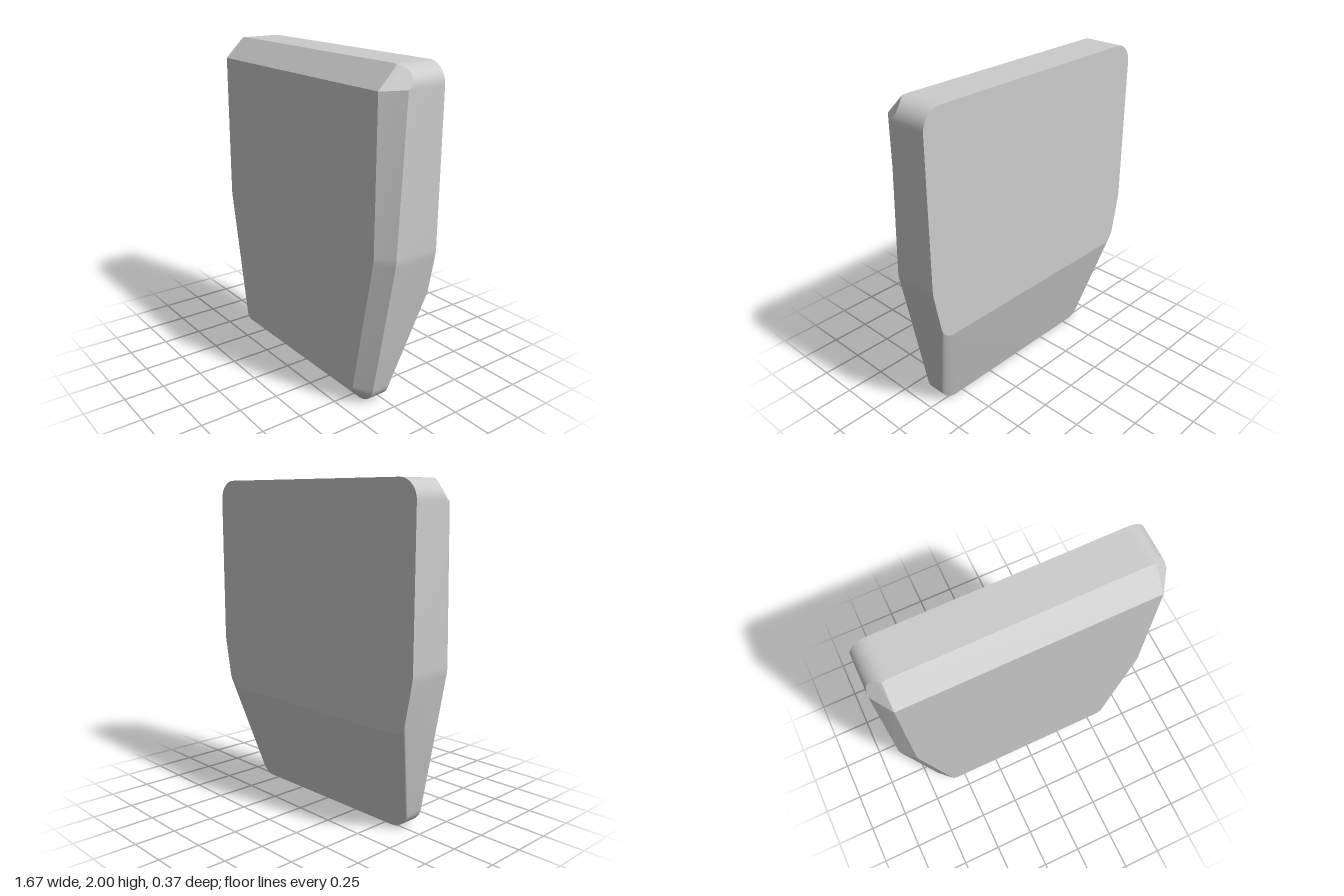
import * as THREE from 'three';
import { toCreasedNormals } from 'three/addons/utils/BufferGeometryUtils.js';

const BACK = -0.187, FRONT = 0.187, HALF = 0.835, BEVEL = 0.085;
const ARC = 12, BEND = 3;
const V = (x, y) => new THREE.Vector2(x, y);

// points of a circular arc rounding the corner p between a and b
function fillet(a, p, b, r, n) {
  const d1 = a.clone().sub(p).normalize(), d2 = b.clone().sub(p).normalize();
  const half = Math.acos(d1.dot(d2)) / 2;
  const c = p.clone().addScaledVector(d1.clone().add(d2).normalize(), r / Math.sin(half));
  const from = p.clone().addScaledVector(d1, r / Math.tan(half)).sub(c);
  const sweep = Math.PI - 2 * half;
  return Array.from({ length: n + 1 }, (_, i) =>
    from.clone().rotateAround(V(0, 0), sweep * i / n).add(c));
}

// x of the tapering lower side at height y
const taper = (y) => HALF - (0.96 - y) * 0.188;

// half outline from bottom to top; topCorner gives the points of the upper corner
function halfOutline(bottom, inset, radius, topCorner) {
  const low = V(taper(bottom) - inset * 1.017, bottom);
  const bend = V(HALF - inset, 0.96 + inset * 0.09);
  return [
    ...fillet(V(0, bottom), low, bend, radius, ARC),
    ...fillet(low, bend, V(bend.x, 2), 0.3 - inset, BEND),
    ...topCorner,
  ];
}

// closed counterclockwise ring from a half outline, with depth given by z(x, y)
function ring(half, z) {
  const right = half.map((p) => new THREE.Vector3(p.x, p.y, z(p.x, p.y)));
  const left = right.map((p) => new THREE.Vector3(-p.x, p.y, p.z)).reverse();
  return [...right, ...left];
}

function panelGeometry() {
  const round = fillet(V(HALF, 1), V(HALF, 2), V(0, 2), 0.12, ARC);
  const sharp = round.map(() => V(HALF - BEVEL, 1.875));

  // front edge depth: side bevel, wider top bevel and the facet joining them
  const edgeZ = (x, y) => Math.min(
    FRONT - BEVEL,
    FRONT + 1.875 - y,
    y > 1.8 ? FRONT - (y - 1.875) - 1.41 * (x - HALF + BEVEL) : FRONT);

  const full = halfOutline(0, 0, 0.127, round);
  const rings = [
    ring(halfOutline(BEVEL, BEVEL, 0.042, sharp), () => FRONT), // front face
    ring(full, edgeZ),                                          // bevel edge
    ring(full, () => -0.017),                                   // start of rear slope
    ring(halfOutline(0.63, 0, 0.095, round), () => BACK),       // back face
  ];

  const pos = [];
  const tri = (a, b, c) => {
    const area = b.clone().sub(a).cross(c.clone().sub(a)).length();
    if (area > 1e-8) for (const p of [a, b, c]) pos.push(p.x, p.y, p.z);
  };

  // walls between neighbouring rings
  for (let k = 0; k < rings.length - 1; k++) {
    const f = rings[k], r = rings[k + 1];
    for (let i = 0; i < f.length; i++) {
      const j = (i + 1) % f.length;
      tri(f[i], r[i], r[j]);
      tri(f[i], r[j], f[j]);
    }
  }

  // flat front and back
  const first = rings[0], last = rings[rings.length - 1];
  const cf = new THREE.Vector3(0, 1, FRONT), cb = new THREE.Vector3(0, 1.3, BACK);
  for (let i = 0; i < first.length; i++) {
    const j = (i + 1) % first.length;
    tri(cf, first[i], first[j]);
    tri(cb, last[j], last[i]);
  }

  const geo = new THREE.BufferGeometry();
  geo.setAttribute('position', new THREE.Float32BufferAttribute(pos, 3));
  return toCreasedNormals(geo, 0.22);
}

export function createModel() {
  const group = new THREE.Group();
  group.name = 'taperedPanel';
  const panel = new THREE.Mesh(
    panelGeometry(), new THREE.MeshStandardMaterial({ color: 0xcccccc }));
  panel.name = 'bevelledPanelBody';
  group.add(panel);
  return group;
}
